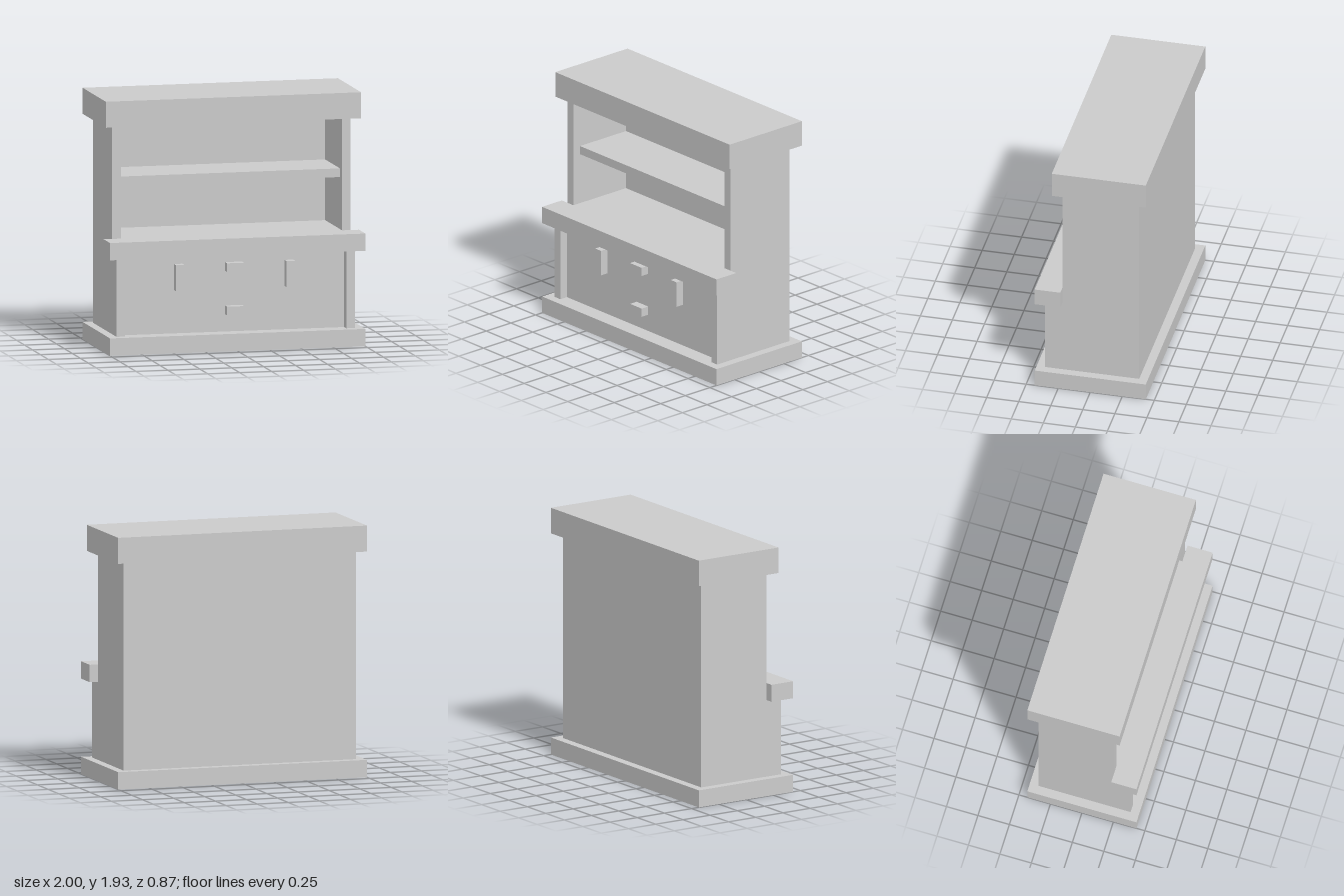
import * as THREE from 'three';

// All dimensions are whole multiples of one small unit
const U = 1 / 15;

export function createModel() {
  const group = new THREE.Group();
  const material = new THREE.MeshStandardMaterial({ color: 0xcccccc, flatShading: true });

  const add = (name, geometry) => {
    const mesh = new THREE.Mesh(geometry, material);
    mesh.name = name;
    group.add(mesh);
    return mesh;
  };

  // Box given by its extents in units
  const box = (name, x0, x1, y0, y1, z0, z1) => {
    const mesh = add(name, new THREE.BoxGeometry((x1 - x0) * U, (y1 - y0) * U, (z1 - z0) * U));
    mesh.position.set((x0 + x1) / 2 * U, (y0 + y1) / 2 * U, (z0 + z1) / 2 * U);
    return mesh;
  };

  // Straight extrusion of an outline given in units
  const extrude = (points, depth) => new THREE.ExtrudeGeometry(
    new THREE.Shape(points.map(([a, b]) => new THREE.Vector2(a * U, b * U))),
    { depth: depth * U, bevelEnabled: false });

  // Plinth and cornice
  box('base', -15, 15, 0, 2, -6.5, 6.5);
  box('top', -15, 15, 26, 29, -6.5, 4.5);

  // Stepped side panels, outline in z and y
  const sideOutline = [[-5.5, 2], [5.5, 2], [5.5, 11], [3.5, 11], [3.5, 26], [-5.5, 26]];
  for (const [name, outerX] of [['leftSide', 14], ['rightSide', -13]]) {
    const side = add(name, extrude(sideOutline, 1).rotateY(-Math.PI / 2));
    side.position.x = outerX * U;
  }

  // Worktop, notched around the sides, outline in x and z
  const worktopOutline = [[-13, -4.5], [13, -4.5], [13, 3.5], [15, 3.5], [15, 6.5],
    [-15, 6.5], [-15, 3.5], [-13, 3.5]];
  const worktop = add('worktop', extrude(worktopOutline, 2).rotateX(Math.PI / 2));
  worktop.position.y = 13 * U;

  // Panels and shelf between the sides
  box('backPanel', -13, 13, 2, 26, -5.5, -4.5);
  box('frontPanel', -13, 13, 2, 11, 3.5, 4.5);
  box('shelf', -13, 13, 19, 20, -4.5, 2.5);

  // Door handles
  for (const [name, x] of [['leftDoorHandle', 6.5], ['rightDoorHandle', -6.5]]) {
    box(name, x - 0.5, x + 0.5, 7, 10, 4.5, 5.5);
  }

  // Drawer handles
  for (const [name, y] of [['upperDrawerHandle', 9], ['lowerDrawerHandle', 4]]) {
    box(name, -1, 1, y, y + 1, 4.5, 5.5);
  }

  return group;
}
